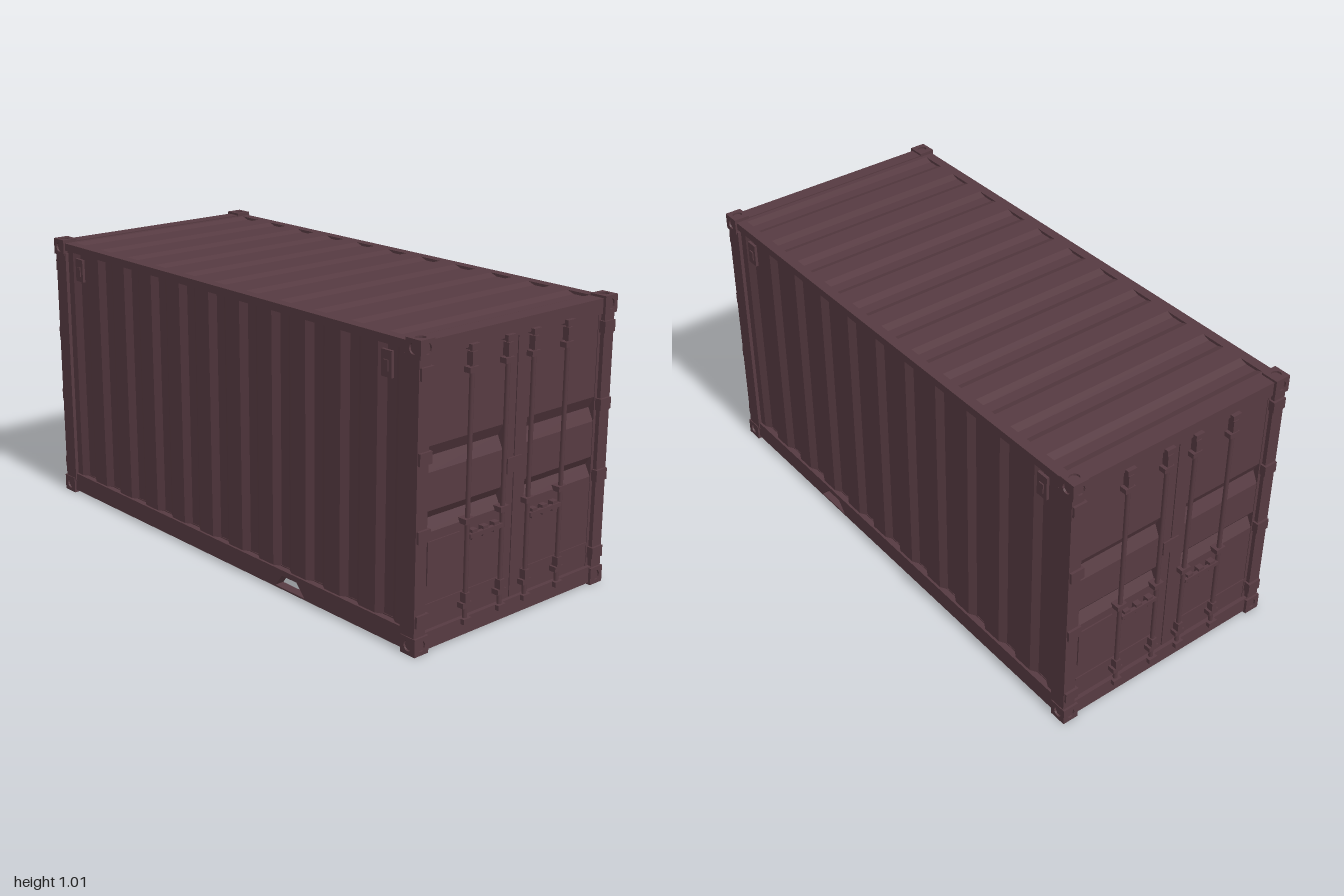
import * as THREE from 'three';

const paint = new THREE.MeshStandardMaterial({ color: 0x563a41 });
paint.name = 'maroonPaint';

function add(parent, name, geo, x = 0, y = 0, z = 0) {
  const m = new THREE.Mesh(geo, paint);
  m.name = name;
  m.position.set(x, y, z);
  parent.add(m);
  return m;
}

// box given by its min and max corners
function box(parent, name, x0, x1, y0, y1, z0, z1) {
  return add(parent, name, new THREE.BoxGeometry(x1 - x0, y1 - y0, z1 - z0),
    (x0 + x1) / 2, (y0 + y1) / 2, (z0 + z1) / 2);
}

function extrude(points, depth, holes = []) {
  const shape = new THREE.Shape(points.map(p => new THREE.Vector2(p[0], p[1])));
  for (const h of holes) shape.holes.push(new THREE.Path(h.map(p => new THREE.Vector2(p[0], p[1]))));
  return new THREE.ExtrudeGeometry(shape, { depth, bevelEnabled: false });
}

// corrugated sheet: trapezoid waves along x, crest at y = 0, extruded along z
function corrugated(half, count, depth, thickness, width) {
  const p = 2 * half / count;
  const pts = [[half, -thickness], [half, 0]];
  for (let i = count - 1; i >= 0; i--) {
    const x = -half + i * p;
    pts.push([x + p * 0.78, 0], [x + p * 0.62, -depth], [x + p * 0.38, -depth], [x + p * 0.22, 0]);
  }
  pts.push([-half, 0], [-half, -thickness]);
  return extrude(pts.reverse(), width);
}

// square plate with an oval opening, centred, facing +z
function castingPlate(w, h) {
  const oval = [];
  for (let i = 0; i < 12; i++) {
    const a = -i * Math.PI / 6;
    oval.push([Math.cos(a) * w * 0.26, Math.sin(a) * h * 0.3]);
  }
  const a = w / 2, b = h / 2;
  return extrude([[-a, -b], [a, -b], [a, b], [-a, b]], 0.008, [oval]);
}

function cornerCasting(sx, top, sz) {
  const g = new THREE.Group();
  g.name = 'cornerCasting';
  const W = 0.065, H = 0.06, D = 0.06;
  add(g, 'castingCore', new THREE.BoxGeometry(W - 0.014, H - 0.014, D - 0.014));
  for (const s of [-1, 1]) {
    const side = add(g, 'castingSide', castingPlate(W, H), 0, 0, s * (D / 2 - 0.008));
    const end = add(g, 'castingEnd', castingPlate(D, H), s * (W / 2 - 0.008), 0, 0);
    const cap = add(g, 'castingCap', castingPlate(W, D), 0, s * (H / 2 - 0.008), 0);
    if (s < 0) {
      side.position.z = -D / 2 + 0.008;
      side.rotation.y = Math.PI;
      end.position.x = -W / 2 + 0.008;
      cap.position.y = -H / 2 + 0.008;
    }
    end.rotation.y = s * Math.PI / 2;
    cap.rotation.x = -s * Math.PI / 2;
  }
  g.position.set(sx * 0.9595, top ? 0.985 : 0.03, sz * 0.42);
  return g;
}

// one end with double doors, facing +x
function doorEnd() {
  const g = new THREE.Group();
  g.name = 'doorEnd';
  box(g, 'header', 0.93, 0.982, 0.955, 1.007, -0.4, 0.4);
  box(g, 'sill', 0.93, 0.982, 0.006, 0.065, -0.4, 0.4);
  box(g, 'doorBacking', 0.925, 0.945, 0.06, 0.96, -0.4, 0.4);

  // pressed panel with two horizontal grooves
  const f = 0.967, r = 0.946;
  const profile = [[0.935, 0.065], [f, 0.065], [f, 0.39], [r, 0.43], [f, 0.46],
    [f, 0.585], [r, 0.63], [f, 0.67], [f, 0.955], [0.935, 0.955]];
  for (const s of [-1, 1]) {
    const zc = s * 0.22;
    add(g, 'doorPanel', extrude(profile, 0.34), 0, 0, zc - 0.17);
    box(g, 'doorInnerFrame', 0.935, 0.969, 0.065, 0.955, s * 0.028 - 0.026, s * 0.028 + 0.026);
    box(g, 'doorOuterFrame', 0.935, 0.969, 0.065, 0.955, s * 0.395 - 0.008, s * 0.395 + 0.008);
    box(g, 'kickStrip', 0.96, 0.971, 0.145, 0.153, zc - 0.165, zc + 0.165);

    // locking rods with keepers and guides
    for (const z of [s * 0.06, s * 0.22]) {
      add(g, 'lockRod', new THREE.CylinderGeometry(0.008, 0.008, 0.91, 8), 0.982, 0.51, z);
      for (const y of [0.958, 0.056])
        box(g, 'rodKeeper', 0.965, 0.997, y - 0.009, y + 0.009, z - 0.018, z + 0.018);
      for (const y of [0.885, 0.395, 0.11])
        box(g, 'rodGuide', 0.96, 0.994, y - 0.009, y + 0.009, z - 0.02, z + 0.02);
      for (const y of [0.92, 0.13])
        box(g, 'rodCollar', 0.97, 0.994, y - 0.022, y + 0.022, z - 0.011, z + 0.011);
    }
    // handle lever and its catch
    box(g, 'handle', 0.978, 0.992, 0.334, 0.348, s * 0.14 - 0.075, s * 0.14 + 0.075);
    for (const z of [0.09, 0.14, 0.19])
      box(g, 'handleCatch', 0.96, 0.988, 0.325, 0.358, s * z - 0.012, s * z + 0.012);
    // hinges
    for (const y of [0.91, 0.645, 0.395, 0.115])
      box(g, 'hinge', 0.95, 0.993, y - 0.02, y + 0.02, s * 0.418 - 0.026, s * 0.418 + 0.026);
  }
  box(g, 'sealPlate', 0.965, 0.974, 0.5, 0.552, -0.032, 0.034);
  box(g, 'dataPlate', 0.965, 0.972, 0.215, 0.36, 0.24, 0.382);
  return g;
}

export function createModel() {
  const model = new THREE.Group();
  model.name = 'shippingContainer';

  // corrugated long walls
  const wallGeo = corrugated(0.925, 11, 0.016, 0.04, 0.91);
  wallGeo.rotateX(-Math.PI / 2);
  for (const s of [-1, 1]) {
    const wall = add(model, 'sideWall', wallGeo, 0, 0.075, s * 0.434);
    // the sheet crest faces -z, so the front wall is turned round
    if (s > 0) wall.rotation.y = Math.PI;
    wall.position.z = s * 0.434;
    wall.geometry = wallGeo;
  }
  wallGeo.rotateY(Math.PI);
  wallGeo.rotateY(Math.PI);

  // corrugated roof
  add(model, 'roof', corrugated(0.95, 11, 0.01, 0.03, 0.83), 0, 1.003, -0.415);
  for (const s of [-1, 1])
    box(model, 'roofEndPlate', s * 0.955 - 0.02, s * 0.955 + 0.02, 0.96, 1.003, -0.41, 0.41);

  // rails; the bottom ones have a lifting opening
  const opening = [[0.31, 0.016], [0.345, 0.06], [0.42, 0.06], [0.46, 0.016]];
  const railGeo = extrude([[-0.94, 0.01], [0.94, 0.01], [0.94, 0.08], [-0.94, 0.08]], 0.035, [opening]);
  for (const s of [-1, 1]) {
    const z = s * 0.425;
    box(model, 'topRail', -0.94, 0.94, 0.975, 1.003, z - 0.018, z + 0.018);
    add(model, 'bottomRail', railGeo, 0, 0, z - 0.0175);
    // small marker plates with a latch on the walls
    for (const x of [-0.838, 0.838]) {
      box(model, 'wallPlate', x - 0.023, x + 0.023, 0.87, 0.955, s * 0.436 - 0.005, s * 0.436 + 0.005);
      box(model, 'wallPlateLatch', x - 0.01, x + 0.01, 0.89, 0.925, s * 0.441 - 0.004, s * 0.441 + 0.004);
    }
  }

  // posts and castings at the corners
  for (const sx of [-1, 1]) for (const sz of [-1, 1]) {
    box(model, 'cornerPost', sx * 0.952 - 0.032, sx * 0.952 + 0.032, 0.05, 0.965, sz * 0.423 - 0.024, sz * 0.423 + 0.024);
    for (const top of [false, true]) model.add(cornerCasting(sx, top, sz));
  }

  // floor, cross beams and flat plates over the lifting pockets
  box(model, 'floor', -0.94, 0.94, 0.072, 0.084, -0.42, 0.42);
  for (let i = -8; i <= 8; i++) {
    const x = i * 0.108;
    if (Math.abs(Math.abs(x) - 0.38) < 0.1) continue;
    box(model, 'crossBeam', x - 0.022, x + 0.022, 0.02, 0.073, -0.41, 0.41);
  }
  for (const x of [-0.385, 0.385])
    box(model, 'pocketPlate', x - 0.085, x + 0.085, 0.063, 0.073, -0.41, 0.41);

  // doors at both ends
  const near = doorEnd();
  const far = doorEnd();
  far.rotation.y = Math.PI;
  model.add(near, far);
  return model;
}
